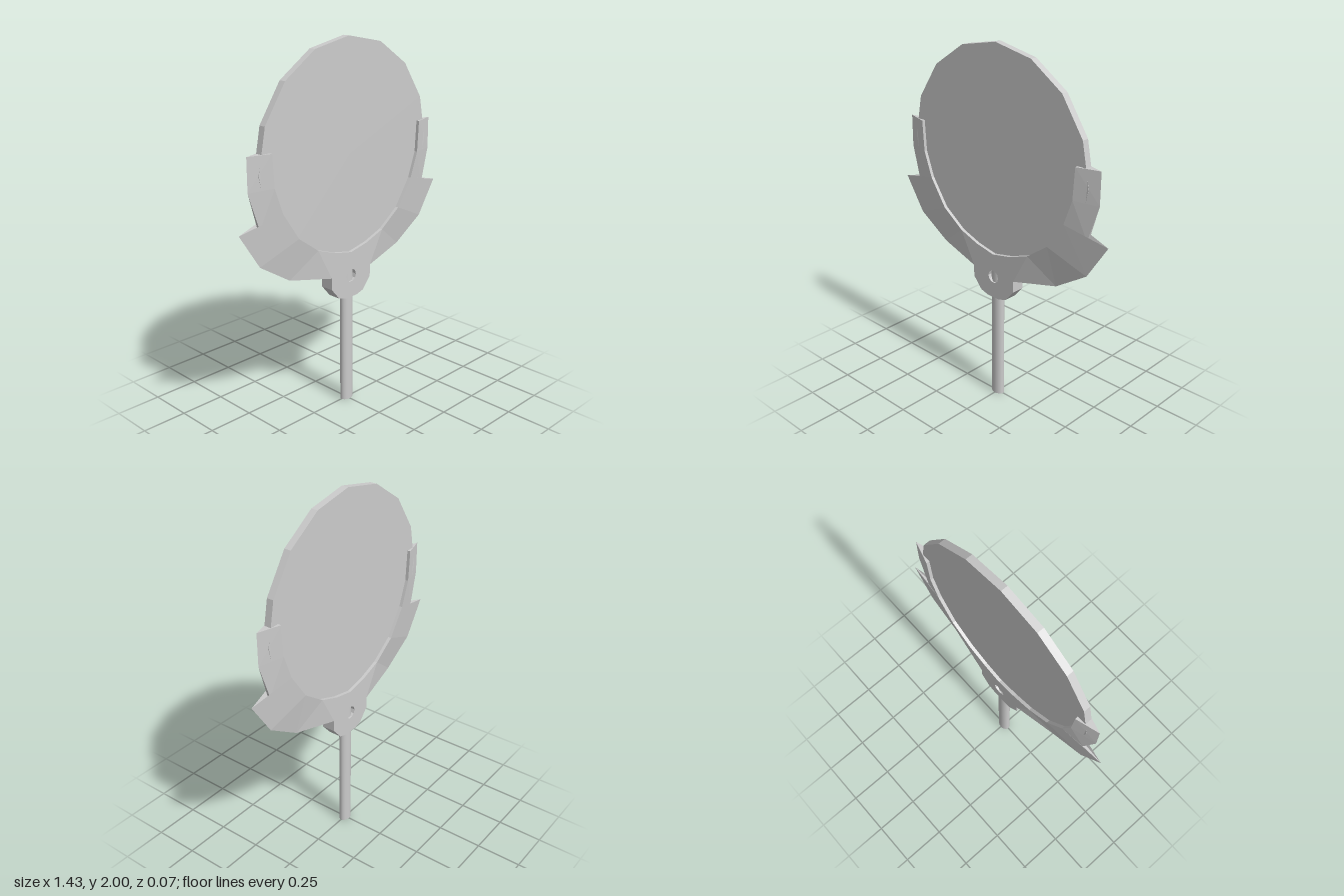
import * as THREE from 'three';

const T = 0.037; // half thickness of the frame

export function createModel() {
  const group = new THREE.Group();
  const material = new THREE.MeshStandardMaterial({ color: 0xcccccc, flatShading: true });
  const smooth = new THREE.MeshStandardMaterial({ color: 0xcccccc });
  const add = (name, geometry, mat = material) => {
    const mesh = new THREE.Mesh(geometry, mat);
    mesh.name = name;
    group.add(mesh);
    return mesh;
  };

  // Sixteen-sided mirror plate
  const plate = add('mirrorPlate', new THREE.CylinderGeometry(0.6, 0.6, 0.038, 16));
  plate.rotation.x = Math.PI / 2;
  plate.position.y = 1.4;

  // Curved frame arms: inner x, y, then outer x, y and outer half thickness
  const rows = [
    [0.53, 1.5, 0.655, 1.5, 0],
    [0.52, 1.33, 0.655, 1.325, 0],
    [0.47, 1.19, 0.595, 1.13, 0.008],
    [0.47, 1.19, 0.717, 1.13, 0],
    [0.37, 1.04, 0.595, 0.94, 0],
    [0.24, 0.945, 0.405, 0.818, 0],
    [0.12, 0.9, 0.145, 0.765, T],
  ];
  for (const side of [1, -1]) {
    add(side > 0 ? 'leftFrameArm' : 'rightFrameArm', frameArm(rows, side));
  }

  // Frame base and socket with a round window
  const half = [[0.12, 0.9], [0.145, 0.765], [0.145, 0.7], [0.09, 0.635], [0.04, 0.62]];
  const outline = [[0, 0.875], ...half, ...half.map(([x, y]) => [-x, y]).reverse()];
  const shape = new THREE.Shape(outline.map(([x, y]) => new THREE.Vector2(x, y)));
  const ring = [];
  for (let i = 0; i < 10; i++) {
    const a = (i / 10) * Math.PI * 2;
    ring.push(new THREE.Vector2(0.036 * Math.cos(a), 0.743 + 0.036 * Math.sin(a)));
  }
  shape.holes.push(new THREE.Path(ring));
  const socket = new THREE.ExtrudeGeometry(shape, { depth: 2 * T, bevelEnabled: false });
  socket.translate(0, 0, -T);
  add('frameSocket', socket);

  // Oval handle running up into the socket
  const handle = add('handle', new THREE.CylinderGeometry(0.039, 0.039, 0.82, 20), smooth);
  handle.scale.z = 0.72;
  handle.position.y = 0.41;

  return group;
}

// Wedge-shaped band between an inner and an outer edge, closed at the top
function frameArm(rows, side) {
  const positions = [];
  const tri = (a, b, c) => {
    const order = side > 0 ? [a, b, c] : [a, c, b];
    const area = b.clone().sub(a).cross(c.clone().sub(a)).length();
    if (area > 1e-7) for (const p of order) positions.push(p.x * side, p.y, p.z);
  };
  const quad = (a, b, c, d) => { tri(a, b, c); tri(a, c, d); };
  const corners = rows.map(([ix, iy, ox, oy, z]) => ({
    fi: new THREE.Vector3(ix, iy, T), bi: new THREE.Vector3(ix, iy, -T),
    fo: new THREE.Vector3(ox, oy, z), bo: new THREE.Vector3(ox, oy, -z),
  }));
  for (let i = 0; i < corners.length - 1; i++) {
    const p = corners[i], q = corners[i + 1];
    quad(p.fi, q.fi, q.fo, p.fo); // front
    quad(p.bi, p.bo, q.bo, q.bi); // back
    quad(p.fo, q.fo, q.bo, p.bo); // outer edge
    quad(p.bi, q.bi, q.fi, p.fi); // inner edge
  }
  const top = corners[0];
  quad(top.fi, top.fo, top.bo, top.bi);
  const geometry = new THREE.BufferGeometry();
  geometry.setAttribute('position', new THREE.Float32BufferAttribute(positions, 3));
  geometry.computeVertexNormals();
  return geometry;
}
